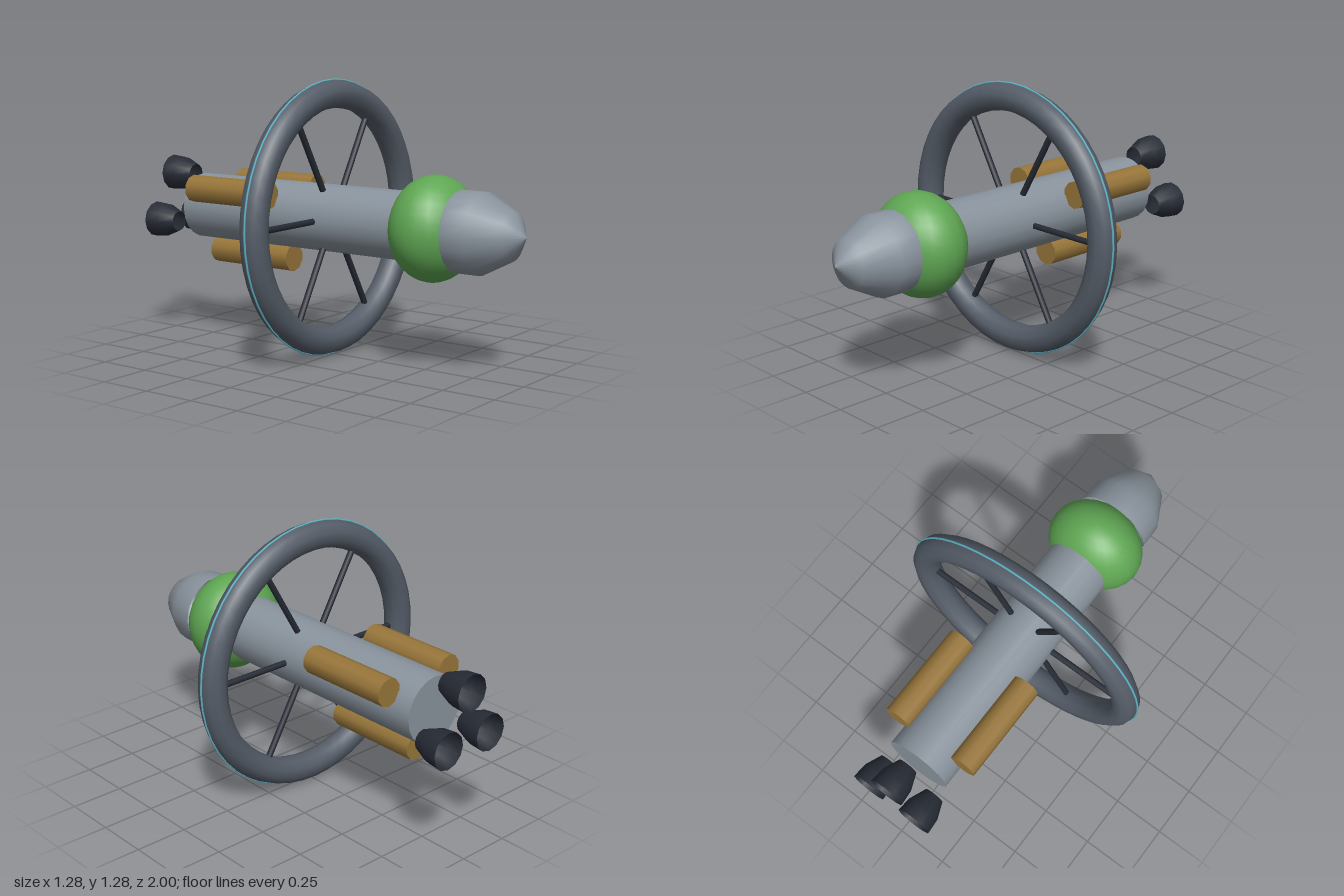
import * as THREE from 'three';

const AXIS_Y = 0.642;

const paint = (color, side = THREE.FrontSide) => new THREE.MeshStandardMaterial({ color, side });

// Cylinder lying along z between two stations
function barrel(radius, zBack, zFront, sides) {
  const g = new THREE.CylinderGeometry(radius, radius, zFront - zBack, sides);
  g.rotateX(Math.PI / 2);
  return g.translate(0, 0, (zFront + zBack) / 2);
}

// Profile of [radius, z] pairs, back to front, turned around the z axis
function turned(profile, sides) {
  const points = profile.map(([r, z]) => new THREE.Vector2(r, z));
  return new THREE.LatheGeometry(points, sides).rotateX(Math.PI / 2);
}

export function createModel() {
  const model = new THREE.Group();
  const ship = new THREE.Group();
  ship.name = 'ship';
  ship.position.y = AXIS_Y;
  model.add(ship);

  const hull = paint(0x89939d);
  const nose = paint(0x89939d, THREE.DoubleSide);
  const ringGrey = paint(0x555d68);
  const dark = paint(0x262b35);
  const engineDark = paint(0x262b35, THREE.DoubleSide);
  const gold = paint(0x98763a);
  const green = paint(0x5fa653);
  const teal = paint(0x5fb4c8);

  function add(name, geometry, material, x = 0, y = 0, z = 0) {
    const mesh = new THREE.Mesh(geometry, material);
    mesh.name = name;
    mesh.position.set(x, y, z);
    ship.add(mesh);
    return mesh;
  }

  // Main body, squashed garden dome and nose
  add('body', barrel(0.157, -0.795, 0.6, 20), hull);
  const dome = new THREE.SphereGeometry(0.238, 24, 16);
  dome.scale(1, 1, 0.8);
  add('dome', dome, green, 0, 0, 0.543);
  add('noseCone', turned([[0.183, 0.678], [0.183, 0.79], [0.108, 0.935], [0, 1]], 20), nose);

  // Habitat ring with a thin light strip on its rim
  add('habitatRing', new THREE.TorusGeometry(0.571, 0.065, 10, 48), ringGrey, 0, 0, -0.01);
  add('lightStrip', new THREE.TorusGeometry(0.636, 0.005, 6, 48), teal, 0, 0, -0.01);

  // Six spokes from the body to the ring
  const spoke = new THREE.CylinderGeometry(0.0145, 0.0145, 0.41, 8);
  spoke.translate(0, 0.315, 0);
  for (let i = 0; i < 6; i++) {
    add('spoke', spoke, dark, 0, 0, -0.01).rotation.z = Math.PI / 6 + (i * Math.PI) / 3;
  }

  // Three tanks along the body, three engine bells behind it
  const tank = barrel(0.065, -0.703, -0.238, 10);
  const bell = turned([[0.086, -1], [0.08, -0.93], [0.048, -0.853]], 12);
  for (let i = 0; i < 3; i++) {
    const a = -Math.PI / 2 + (i * Math.PI * 2) / 3;
    add('tank', tank, gold, 0.21 * Math.cos(a), 0.21 * Math.sin(a));
    add('engineBell', bell, engineDark, -0.148 * Math.cos(a), -0.148 * Math.sin(a));
  }

  return model;
}
